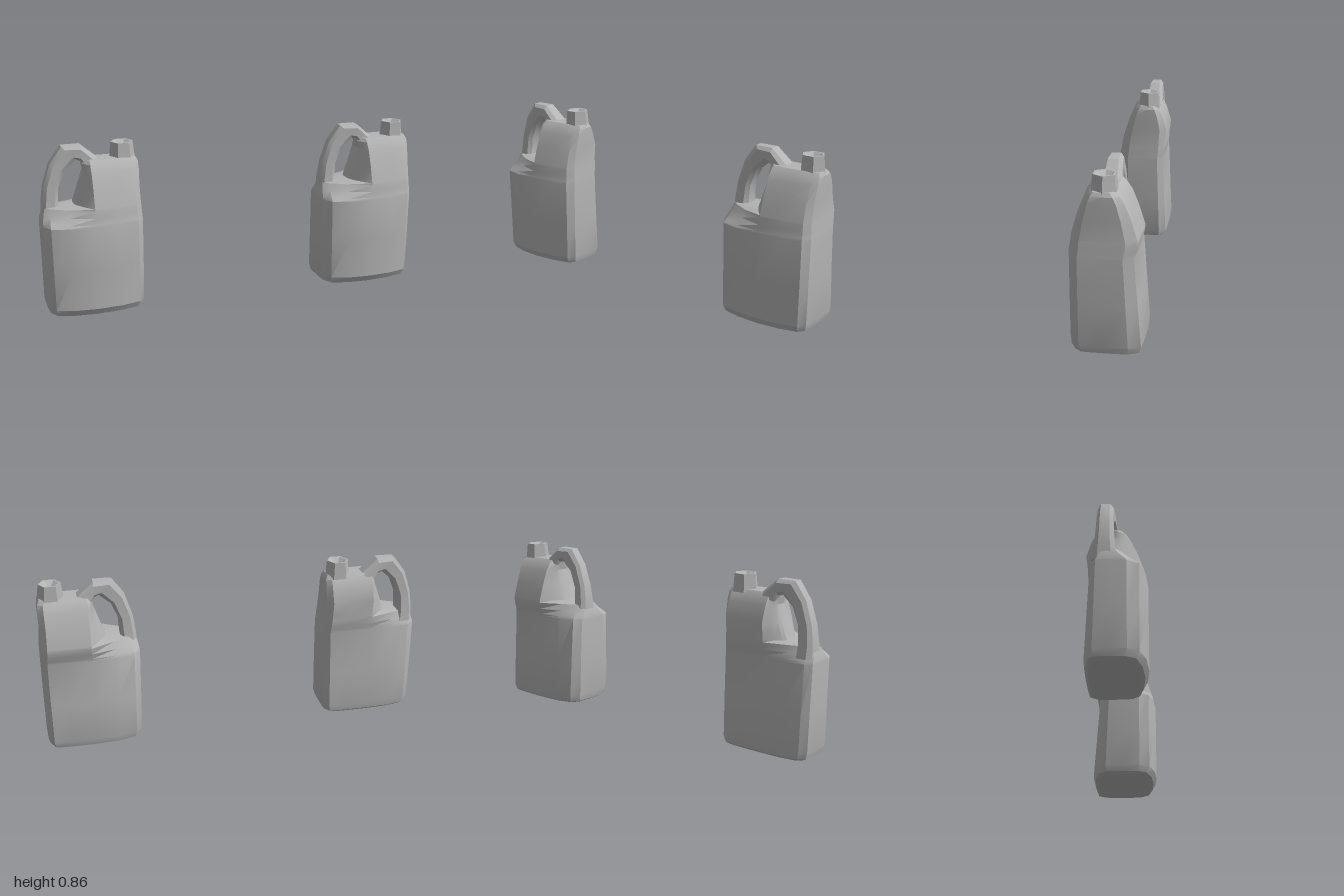
import * as THREE from 'three';
import { toCreasedNormals } from 'three/addons/utils/BufferGeometryUtils.js';

const plastic = new THREE.MeshStandardMaterial({ color: 0xb4b4b4, side: THREE.DoubleSide });
plastic.name = 'grey plastic';

// Skins a list of closed rings of [x, y, z] points and caps both ends.
function loft(rings, crease) {
  const n = rings[0].length, pos = [], idx = [];
  rings.forEach(r => r.forEach(p => pos.push(...p)));
  for (let i = 0; i < rings.length - 1; i++) {
    for (let j = 0; j < n; j++) {
      const a = i * n + j, b = i * n + (j + 1) % n;
      idx.push(a, a + n, b, b, a + n, b + n);
    }
  }
  [0, rings.length - 1].forEach((r, end) => {
    const c = pos.length / 3, mid = [0, 0, 0];
    rings[r].forEach(p => p.forEach((v, k) => { mid[k] += v / n; }));
    pos.push(...mid);
    for (let j = 0; j < n; j++) {
      const a = r * n + j, b = r * n + (j + 1) % n;
      if (end) idx.push(a, c, b); else idx.push(a, b, c);
    }
  });
  const g = new THREE.BufferGeometry();
  g.setAttribute('position', new THREE.Float32BufferAttribute(pos, 3));
  g.setIndex(idx);
  return toCreasedNormals(g, crease);
}

// Plan outline: position from handle end (-1) to neck end (1), fraction of the depth
const outline = [
  [1, 0], [0.99, 0.6], [0.88, 0.8], [0.5, 0.94], [0, 1], [-0.5, 0.95], [-0.86, 0.8],
  [-0.98, 0.5], [-1, 0], [-0.99, -0.55], [-0.86, -0.8], [-0.5, -0.95], [0, -1], [0.5, -1],
  [0.88, -0.97], [0.99, -0.66],
];

// y, left x, right x, front z, back z, depth kept at the handle end
const bodyRings = [
  [0, -0.215, 0.215, 0.135, -0.15, 1],
  [0.012, -0.238, 0.238, 0.162, -0.172, 1],
  [0.045, -0.247, 0.248, 0.18, -0.182, 1],
  [0.25, -0.25, 0.251, 0.18, -0.166, 1],
  [0.478, -0.254, 0.253, 0.18, -0.148, 1],
  [0.49, -0.253, 0.252, 0.176, -0.15, 0.92],
  [0.52, -0.246, 0.25, 0.17, -0.16, 0.62],
  [0.555, -0.235, 0.248, 0.165, -0.166, 0.36],
  [0.565, -0.085, 0.247, 0.162, -0.164, 0.4],
  [0.65, -0.055, 0.246, 0.135, -0.138, 0.45],
  [0.73, -0.028, 0.249, 0.101, -0.107, 0.5],
  [0.768, -0.035, 0.248, 0.077, -0.082, 0.55],
  [0.787, -0.02, 0.238, 0.055, -0.06, 0.6],
];

function bodyGeometry(backScale) {
  const rings = bodyRings.map(([y, xl, xr, zf, zb, keep]) => outline.map(([u, w]) => {
    const taper = u < 0 ? 1 + u * (1 - keep) : 1;
    const z = w > 0 ? w * zf : -w * zb * (y < 0.6 ? backScale : (1 + backScale) / 2);
    return [u < 0 ? -u * xl : u * xr, y, z * taper];
  }));
  return loft(rings, 0.45);
}

// Handle: outer x, outer y, inner x, inner y, half thickness
const handleSections = [
  [-0.242, 0.5, -0.15, 0.5, 0.06],
  [-0.24, 0.57, -0.16, 0.562, 0.05],
  [-0.228, 0.66, -0.155, 0.65, 0.043],
  [-0.192, 0.772, -0.12, 0.735, 0.04],
  [-0.13, 0.857, -0.06, 0.787, 0.04],
  [-0.035, 0.857, -0.038, 0.778, 0.046],
  [0.05, 0.785, -0.018, 0.735, 0.055],
];

function handleGeometry() {
  const section = [[0, 0.55], [0.22, 0.95], [0.78, 1], [1, 0.6], [1, -0.6], [0.78, -1], [0.22, -0.95], [0, -0.55]];
  const rings = handleSections.map(([ox, oy, ix, iy, h]) =>
    section.map(([t, w]) => [ox + (ix - ox) * t, oy + (iy - oy) * t, w * h]));
  return loft(rings, 0.5);
}

// Six-sided neck with a shallow sunken mouth
function neckGeometry() {
  const profile = [[0.067, 0.77], [0.063, 0.8], [0.057, 0.859], [0.047, 0.859], [0, 0.825]];
  const g = new THREE.LatheGeometry(profile.map(p => new THREE.Vector2(...p)), 6, Math.PI / 6);
  return toCreasedNormals(g, 0.4);
}

function createJug(name, x, backScale) {
  const jug = new THREE.Group();
  jug.name = name;
  const add = (part, geometry) => {
    const mesh = new THREE.Mesh(geometry, plastic);
    mesh.name = part;
    jug.add(mesh);
    return mesh;
  };
  add('body', bodyGeometry(backScale));
  add('handle', handleGeometry()).position.z = -0.012;
  add('neck', neckGeometry()).position.set(0.177, 0, -0.009);
  jug.position.x = x;
  return jug;
}

export function createModel() {
  const model = new THREE.Group();
  model.name = 'jugs';
  // The two jugs differ in the depth of their backs
  model.add(createJug('rightJug', -0.746, 0.62), createJug('leftJug', 0.746, 1));
  return model;
}
